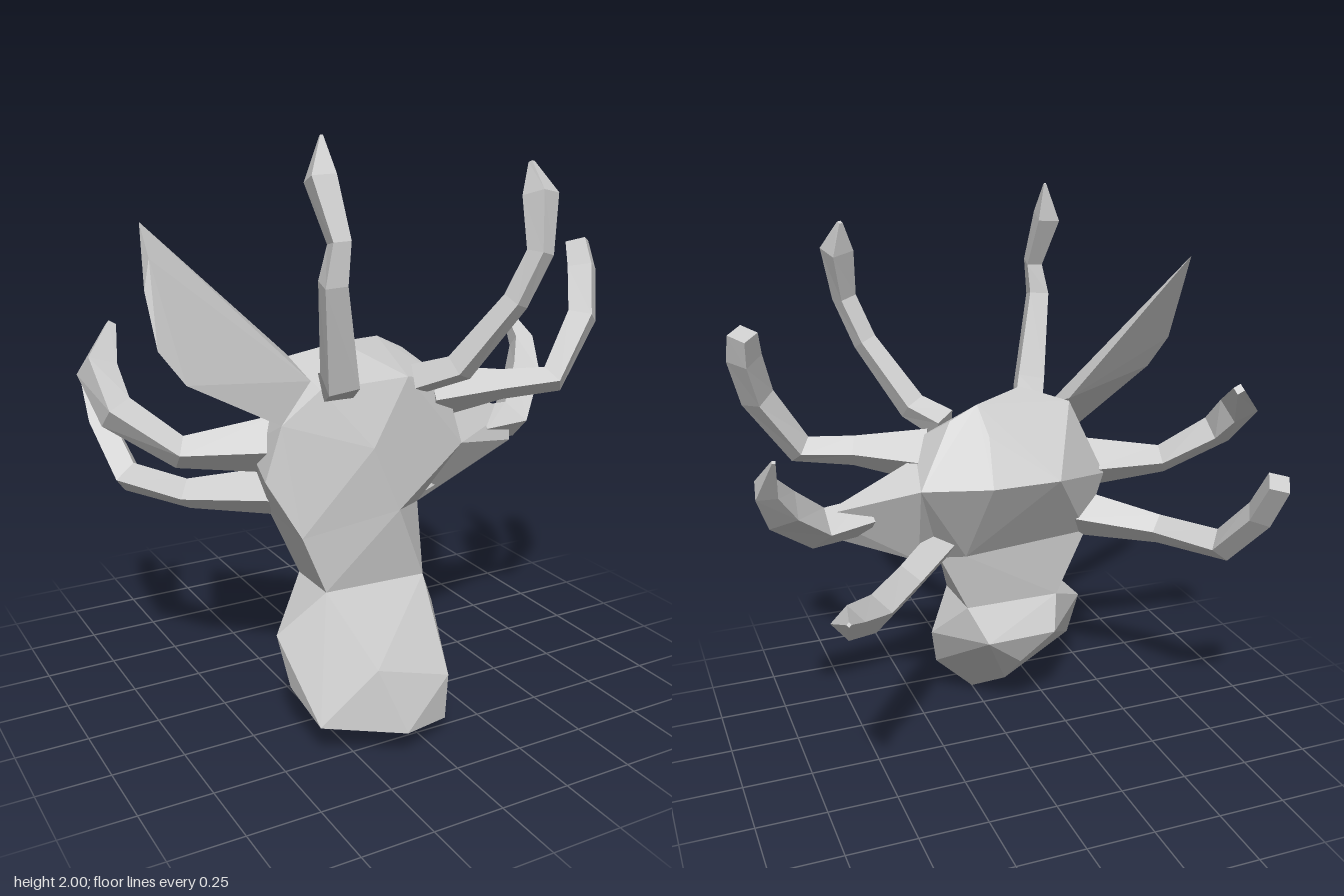
import * as THREE from 'three';
import { ConvexGeometry } from 'three/addons/geometries/ConvexGeometry.js';

const material = new THREE.MeshStandardMaterial({ color: 0xcccccc, flatShading: true });

// Faceted solid around a handful of corner points
function solid(name, corners) {
  const mesh = new THREE.Mesh(new ConvexGeometry(corners.map((c) => new THREE.Vector3(...c))), material);
  mesh.name = name;
  return mesh;
}

// Tapered four-sided limb; every station is [x, y, z, radius]
function limb(name, stations, sides = 4) {
  const points = stations.map((s) => new THREE.Vector3(s[0], s[1], s[2]));
  const positions = [];
  const indices = [];
  const last = points.length - 1;
  let normal = new THREE.Vector3(0, 0, 1);
  points.forEach((p, i) => {
    const tangent = points[Math.min(i + 1, last)].clone().sub(points[Math.max(i - 1, 0)]).normalize();
    normal = normal.clone().addScaledVector(tangent, -normal.dot(tangent)).normalize();
    const binormal = tangent.clone().cross(normal);
    for (let j = 0; j < sides; j++) {
      const a = (j / sides) * Math.PI * 2;
      const r = stations[i][3];
      const v = p.clone().addScaledVector(normal, r * Math.cos(a)).addScaledVector(binormal, r * Math.sin(a));
      positions.push(v.x, v.y, v.z);
      if (i < last) {
        const k = i * sides + j;
        const n = i * sides + ((j + 1) % sides);
        indices.push(k, n, k + sides, n, n + sides, k + sides);
      }
    }
  });
  // End caps
  for (let j = 1; j < sides - 1; j++) {
    const e = last * sides;
    indices.push(0, j + 1, j, e, e + j, e + j + 1);
  }
  const geometry = new THREE.BufferGeometry();
  geometry.setAttribute('position', new THREE.Float32BufferAttribute(positions, 3));
  geometry.setIndex(indices);
  geometry.computeVertexNormals();
  const mesh = new THREE.Mesh(geometry, material);
  mesh.name = name;
  return mesh;
}

export function createModel() {
  const group = new THREE.Group();
  group.name = 'antleredHead';

  // Corners shared by skull, neck and snout
  const jaw = [[-0.36, 0.73, 0.36], [0, 0.77, 0.37], [0.2, 0.7, 0.16], [0.12, 0.72, 0.09], [-0.36, 0.75, 0.1]];
  const throat = [[-0.28, 0.53, 0.37], [0.12, 0.5, 0.33], [0.11, 0.5, 0.11], [-0.25, 0.5, 0.11]];

  // Skull
  group.add(solid('skull', [
    ...jaw,
    [-0.46, 0.92, 0.3], [-0.4, 1.1, 0.3], [-0.28, 1.27, 0.09], [-0.12, 1.32, 0.17],
    [0.08, 1.3, 0.07], [0.18, 1.25, 0.07], [0.28, 1.15, 0.2], [0.33, 0.92, 0.24],
    [-0.1, 1.0, 0.37], [-0.26, 1.2, 0.3], [0.08, 1.2, 0.28],
    [-0.17, 1.04, -0.1], [0.08, 1.04, -0.1], [0.06, 1.2, 0], [0.32, 1.04, -0.03], [-0.42, 0.98, 0.08],
  ]));

  // Neck and snout
  group.add(solid('neck', [...jaw, ...throat]));
  group.add(solid('snout', [
    ...throat,
    [-0.43, 0.38, 0.3], [-0.4, 0.2, 0.34], [-0.37, 0.12, 0.5], [-0.19, 0.31, 0.56],
    [-0.11, 0.09, 0.62], [0.08, 0.06, 0.55], [0.09, 0.22, 0.55], [-0.22, 0.03, 0.42],
    [0, 0, 0.39], [0.17, 0.18, 0.33], [0.21, 0.35, 0.25], [0.05, 0.37, 0.04],
    [-0.22, 0.37, 0.05], [-0.08, 0.11, 0.22], [-0.1, 0.24, 0.1],
  ]));

  // Broad blade on the right and pointed cheek on the left
  group.add(solid('rightEar', [
    [-0.79, 1.75, 0.16], [-0.81, 1.66, 0.29], [-0.835, 1.57, 0.31], [-0.82, 1.4, 0.36], [-0.74, 1.29, 0.37],
    [-0.4, 1.1, 0.3], [-0.27, 1.22, 0.25], [-0.28, 1.28, 0.09],
  ]));
  group.add(solid('leftCheek', [
    [0.65, 0.96, 0.08], [0.62, 0.86, 0.13], [0.33, 0.92, 0.24], [0.2, 0.7, 0.16],
    [0.28, 1.12, 0.12], [0.32, 1.04, -0.03], [0.3, 0.73, 0.09],
  ]));

  // Brow horns
  group.add(limb('rightBrowHorn', [
    [-0.19, 1.2, 0.27, 0.07], [-0.26, 1.26, 0.43, 0.07], [-0.325, 1.58, 0.51, 0.05],
    [-0.31, 1.7, 0.52, 0.04], [-0.33, 1.88, 0.44, 0.055], [-0.31, 2.0, 0.41, 0.006],
  ]));
  group.add(limb('leftBrowHorn', [
    [0.14, 1.18, 0.25, 0.06], [0.23, 1.23, 0.36, 0.055], [0.37, 1.46, 0.47, 0.045],
    [0.43, 1.62, 0.51, 0.045], [0.46, 1.8, 0.46, 0.06], [0.455, 1.9, 0.41, 0.01],
  ]));

  // Left antler branches
  group.add(limb('leftUpperBranch', [
    [0.24, 1.1, 0.17, 0.1], [0.48, 1.12, 0.26, 0.055], [0.66, 1.13, 0.315, 0.055],
    [0.8, 1.34, 0.29, 0.06], [0.845, 1.5, 0.22, 0.06], [0.85, 1.59, 0.18, 0.05],
  ]));
  group.add(limb('leftMiddleBranch', [
    [0.48, 0.93, 0.1, 0.07], [0.66, 0.92, 0.07, 0.075], [0.8, 1.05, -0.05, 0.075],
    [0.86, 1.16, -0.14, 0.05], [0.85, 1.29, -0.26, 0.008],
  ]));
  group.add(limb('leftLowerBranch', [
    [0.2, 0.77, 0.14, 0.07], [0.39, 0.72, -0.04, 0.065], [0.56, 0.73, -0.26, 0.065],
    [0.69, 0.81, -0.45, 0.055], [0.72, 0.88, -0.6, 0.008],
  ]));

  // Right antler branches
  group.add(limb('rightMiddleBranch', [
    [-0.36, 1.0, 0.17, 0.1], [-0.67, 1.0, 0.1, 0.055], [-0.84, 1.13, -0.01, 0.065],
    [-0.86, 1.25, -0.12, 0.07], [-0.76, 1.36, -0.27, 0.02],
  ]));
  group.add(limb('rightLowerBranch', [
    [-0.33, 0.82, 0.13, 0.09], [-0.58, 0.79, -0.07, 0.055], [-0.71, 0.8, -0.31, 0.06],
    [-0.75, 0.97, -0.47, 0.055], [-0.75, 1.12, -0.57, 0.05],
  ]));

  return group;
}
